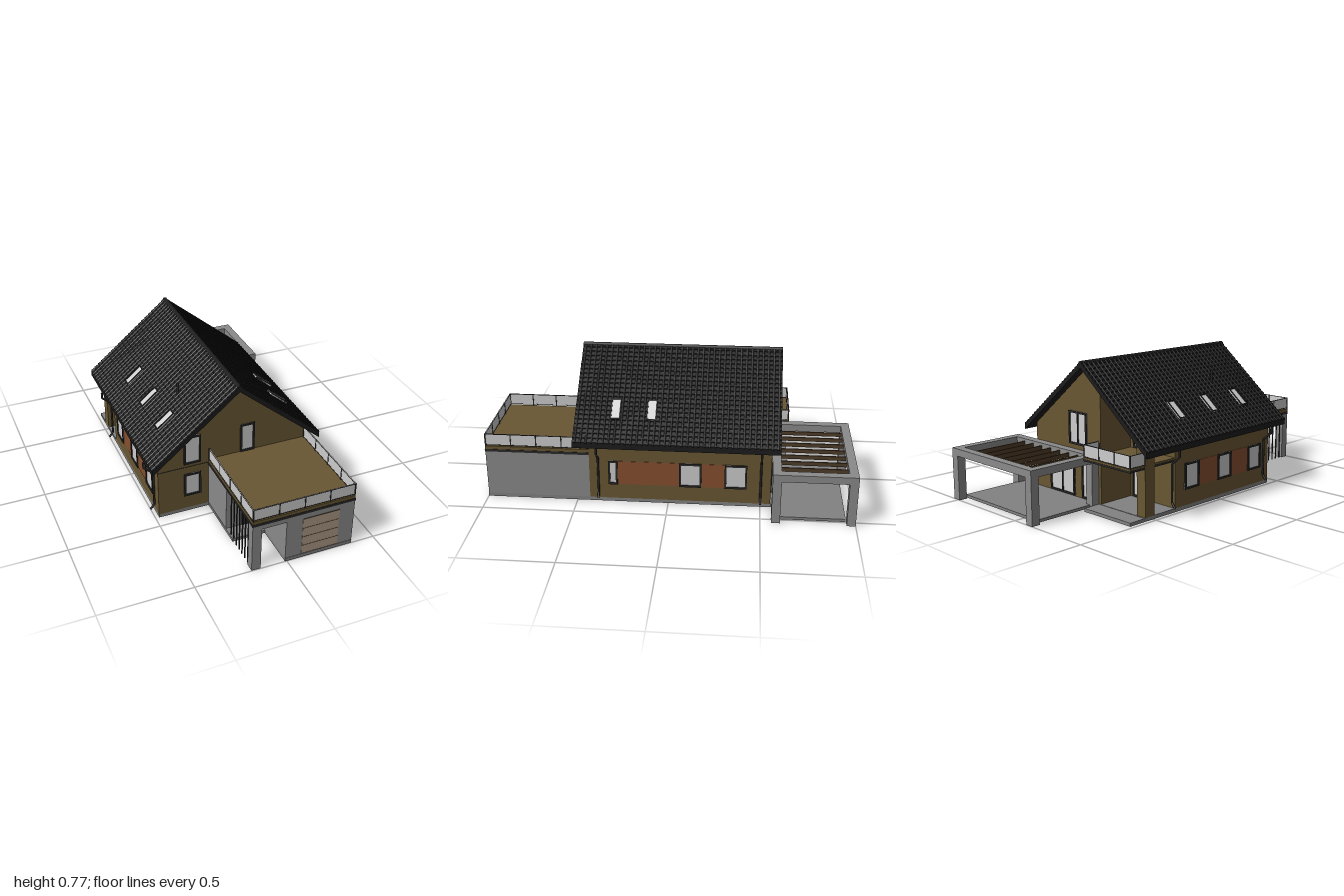
import * as THREE from 'three';

const mat = (name, color) => {
  const m = new THREE.MeshStandardMaterial({ color });
  m.name = name;
  return m;
};

export function createModel() {
  const root = new THREE.Group();
  root.name = 'house';
  const olive = mat('olive plaster', 0x695733);
  const grey = mat('grey concrete', 0x8b8b8b);
  const roofDark = mat('roof tile', 0x1c1c1d);
  const dark = mat('dark metal', 0x29292a);
  const glass = mat('pale glass', 0xcdcdcd);
  const brick = mat('brick panel', 0x86502f);
  const beige = mat('garage door beige', 0xab9984);
  const wood = mat('brown wood', 0x4f3d28);
  const floorGrey = mat('floor grey', 0x828282);

  const add = (name, geo, m, parent = root) => {
    const mesh = new THREE.Mesh(geo, m);
    mesh.name = name;
    parent.add(mesh);
    return mesh;
  };
  // box given by its minimum and maximum on each axis
  const box = (name, m, x0, x1, y0, y1, z0, z1, parent = root) => {
    const b = add(name, new THREE.BoxGeometry(x1 - x0, y1 - y0, z1 - z0), m, parent);
    b.position.set((x0 + x1) / 2, (y0 + y1) / 2, (z0 + z1) / 2);
    return b;
  };
  const extrude = (name, m, pts, z0, z1) => {
    const shape = new THREE.Shape(pts.map(p => new THREE.Vector2(...p)));
    const g = new THREE.ExtrudeGeometry(shape, { depth: z1 - z0, bevelEnabled: false });
    g.translate(0, 0, z0);
    return add(name, g, m);
  };
  const rod = (name, m, a, b, r, sides = 8) => {
    const p = new THREE.Vector3(...a), q = new THREE.Vector3(...b);
    const c = add(name, new THREE.CylinderGeometry(r, r, p.distanceTo(q), sides), m);
    c.position.copy(p).lerp(q, 0.5);
    c.quaternion.setFromUnitVectors(new THREE.Vector3(0, 1, 0), q.sub(p).normalize());
    return c;
  };

  // floor slabs
  box('houseSlab', floorGrey, -0.48, 0.37, 0, 0.02, -0.56, 0.43);
  box('garageSlab', floorGrey, -0.01, 0.37, 0, 0.02, 0.43, 1);
  box('porchSlab', floorGrey, -0.195, -0.01, 0, 0.018, 0.43, 0.76);
  box('backTerrace', floorGrey, -0.48, -0.14, 0, 0.018, -0.66, -0.56);
  box('pergolaFloor', floorGrey, -0.12, 0.5, 0.004, 0.02, -0.95, -0.56);

  // main walls, with a recessed corner at the back
  extrude('mainWalls', olive, [[-0.48, 0.02], [0.37, 0.02], [0.37, 0.378],
    [-0.055, 0.73], [-0.48, 0.378]], -0.34, 0.43);
  extrude('rearWalls', olive, [[-0.155, 0.02], [0.37, 0.02], [0.37, 0.378],
    [-0.055, 0.73], [-0.155, 0.647]], -0.555, -0.34);
  box('cornerColumn', olive, -0.48, -0.42, 0.018, 0.375, -0.555, -0.49);
  box('floorSeam', dark, -0.481, -0.195, 0.287, 0.29, 0.42, 0.432);

  // roof slopes: stepped tile rows with ribs running down them
  const ridgeX = -0.055, rows = 22, z0 = -0.6, z1 = 0.51;
  const slope = (name, eaveX) => {
    const top = t => [ridgeX + (eaveX - ridgeX) * t, 0.764 - 0.394 * t];
    const pts = [[ridgeX, 0.735], [ridgeX, 0.764]];
    for (let i = 0; i < rows; i++) {
      const a = top(i / rows), b = top((i + 1) / rows);
      if (i) pts.push(a);
      pts.push([b[0], b[1] + 0.006]);
    }
    pts.push([eaveX, 0.34]);
    extrude(name, roofDark, pts, z0, z1);
    for (let z = z0 + 0.015; z < z1; z += 0.03)
      rod('tileRib', roofDark, [...top(0.01), z], [...top(1), z], 0.007, 6);
  };
  slope('leftHandSlope', 0.42);
  slope('rightHandSlope', -0.535);
  rod('ridgeCap', roofDark, [ridgeX, 0.757, z0], [ridgeX, 0.757, z1], 0.014);

  // framed window, facing +z before it is turned
  const win = (name, w, h, x, y, z, ry = 0, mullion = false, frame = 0.01) => {
    const g = new THREE.Group();
    g.name = name;
    box('glass', glass, -w / 2, w / 2, -h / 2, h / 2, -0.004, 0.003, g);
    for (const s of [-1, 1]) {
      const cx = s * (w - frame) / 2, cy = s * (h - frame) / 2;
      box('frameSide', dark, cx - frame / 2, cx + frame / 2, -h / 2, h / 2, -0.004, 0.009, g);
      box('frameRail', dark, -w / 2, w / 2, cy - frame / 2, cy + frame / 2, -0.004, 0.009, g);
    }
    if (mullion) box('mullion', dark, -0.004, 0.004, -h / 2, h / 2, -0.004, 0.008, g);
    g.position.set(x, y, z);
    g.rotation.y = ry;
    root.add(g);
    return g;
  };
  win('frontUpperWindow', 0.095, 0.17, -0.287, 0.395, 0.43);
  win('frontLowerWindow', 0.095, 0.14, -0.287, 0.175, 0.43);
  win('terraceDoor', 0.082, 0.17, 0.028, 0.395, 0.43);
  win('backUpperWindow', 0.14, 0.18, 0.018, 0.4, -0.555, Math.PI, true);
  win('backPatioDoor', 0.2, 0.22, 0.15, 0.135, -0.555, Math.PI, true);
  win('backPatioWindow', 0.08, 0.22, -0.05, 0.135, -0.555, Math.PI);
  win('recessLowerDoor', 0.15, 0.22, -0.25, 0.135, -0.34, Math.PI, true);
  win('recessUpperDoor', 0.12, 0.17, -0.24, 0.38, -0.34, Math.PI);
  for (const [z, w] of [[0.3, 0.05], [-0.12, 0.12], [-0.365, 0.12]])
    win('leftSideWindow', w, 0.14, 0.37, 0.177, z, Math.PI / 2);
  for (const z of [-0.215, 0.045, 0.3])
    win('rightSideWindow', 0.11, 0.14, -0.48, 0.177, z, -Math.PI / 2);
  box('leftBrickPanel', brick, 0.366, 0.372, 0.108, 0.246, -0.31, 0.28);
  box('rightBrickPanel', brick, -0.482, -0.476, 0.108, 0.246, -0.21, 0.3);

  // skylights lying on the slopes
  const skylight = (x, z) => {
    const s = Math.sign(x - ridgeX), run = s > 0 ? 0.475 : 0.48;
    const y = 0.77 - 0.394 * Math.abs(x - ridgeX) / run;
    const g = win('skylight', 0.052, 0.122, x, y, z, 0, false, 0.005);
    const a = Math.atan2(0.394, run);
    g.rotation.set(-(Math.PI / 2 - a), s * Math.PI / 2, 0, 'YXZ');
    g.translateZ(0.004);
  };
  for (const z of [-0.225, 0.03, 0.275]) skylight(-0.378, z);
  for (const z of [0.095, 0.29]) skylight(0.265, z);
  rod('fluePipe', dark, [-0.268, 0.57, 0.18], [-0.266, 0.655, 0.18], 0.007, 10);

  // downpipes
  const downpipe = (s, wallX, z) => {
    const pts = [[0.06, 0.345], [0.06, 0.31], [0.008, 0.265], [0.008, 0.06], [0.03, 0.03]]
      .map(([d, y]) => [wallX + s * d, y, z]);
    for (let i = 0; i < 4; i++) rod('downpipe', dark, pts[i], pts[i + 1], 0.006);
  };
  for (const z of [0.38, -0.5]) downpipe(1, 0.37, z);
  for (const z of [0.38, -0.37]) downpipe(-1, -0.48, z);

  // garage with an open porch beside it
  box('garageWalls', grey, -0.01, 0.37, 0.02, 0.276, 0.43, 0.998);
  box('entranceWall', grey, -0.193, -0.01, 0.018, 0.276, 0.43, 0.67);
  box('porchPillar', grey, -0.195, -0.145, 0, 0.276, 0.95, 0.998);
  box('porchLintel', grey, -0.145, -0.01, 0.25, 0.276, 0.96, 0.998);
  box('frontDoor', dark, -0.105, -0.02, 0.02, 0.245, 0.665, 0.677);
  for (let i = 0; i < 7; i++) {
    const z = 0.72 + i * 0.035;
    box('porchSlat', dark, -0.19, -0.184, 0, 0.276, z, z + 0.005);
  }
  box('garageDoor', beige, 0.08, 0.285, 0.022, 0.245, 0.995, 1);
  for (const y of [0.022, 0.075, 0.13, 0.185, 0.243])
    box('garageDoorGroove', wood, 0.08, 0.285, y, y + 0.002, 0.995, 1.001);
  box('terraceEdge', dark, -0.197, 0.372, 0.276, 0.29, 0.43, 1);
  box('terraceDeck', olive, -0.195, 0.37, 0.29, 0.308, 0.43, 0.998);

  // glass railing from one point to another
  const railing = (name, xa, za, xb, zb, y, h, n) => {
    const g = new THREE.Group(), len = Math.hypot(xb - xa, zb - za);
    g.name = name;
    box('railGlass', glass, -len / 2, len / 2, 0, h, -0.002, 0.002, g);
    for (const e of [0, h - 0.003])
      box('railEdge', dark, -len / 2, len / 2, e, e + 0.003, -0.003, 0.003, g);
    for (let i = 0; i <= n; i++) {
      const x = -len / 2 + len * i / n;
      box('railPost', dark, x - 0.003, x + 0.003, -0.005, h, -0.004, 0.004, g);
    }
    g.position.set((xa + xb) / 2, y, (za + zb) / 2);
    g.rotation.y = Math.atan2(za - zb, xb - xa);
    root.add(g);
  };
  railing('terraceFrontRailing', -0.192, 0.994, 0.366, 0.994, 0.314, 0.065, 4);
  railing('terraceLeftRailing', 0.366, 0.994, 0.366, 0.44, 0.314, 0.065, 4);
  railing('terraceRightRailing', -0.192, 0.994, -0.192, 0.44, 0.314, 0.065, 4);

  // rear balcony over the recess
  box('balconySlab', dark, -0.48, -0.135, 0.27, 0.28, -0.66, -0.34);
  box('balconyDeck', olive, -0.478, -0.137, 0.28, 0.29, -0.658, -0.34);
  railing('balconyRailing', -0.476, -0.654, -0.14, -0.654, 0.292, 0.065, 3);
  railing('balconySideRailing', -0.476, -0.654, -0.476, -0.555, 0.292, 0.065, 1);
  railing('balconyInnerRailing', -0.14, -0.654, -0.14, -0.555, 0.292, 0.065, 1);

  // pergola: posts, ring beam, rafters
  for (const x of [-0.14, 0.488])
    for (const z of [-1, -0.605])
      box('pergolaPost', grey, x, x + 0.047, 0, 0.25, z, z + 0.047);
  for (const z of [-1, -0.605])
    box('pergolaCrossBeam', grey, -0.14, 0.535, 0.245, 0.285, z, z + 0.047);
  for (const x of [-0.14, 0.488])
    box('pergolaSideBeam', grey, x, x + 0.047, 0.245, 0.285, -0.953, -0.605);
  for (let i = 0; i < 7; i++) {
    const x = -0.03 + i * 0.075;
    box('pergolaRafter', wood, x - 0.004, x + 0.004, 0.25, 0.272, -0.96, -0.6);
  }

  return root;
}
